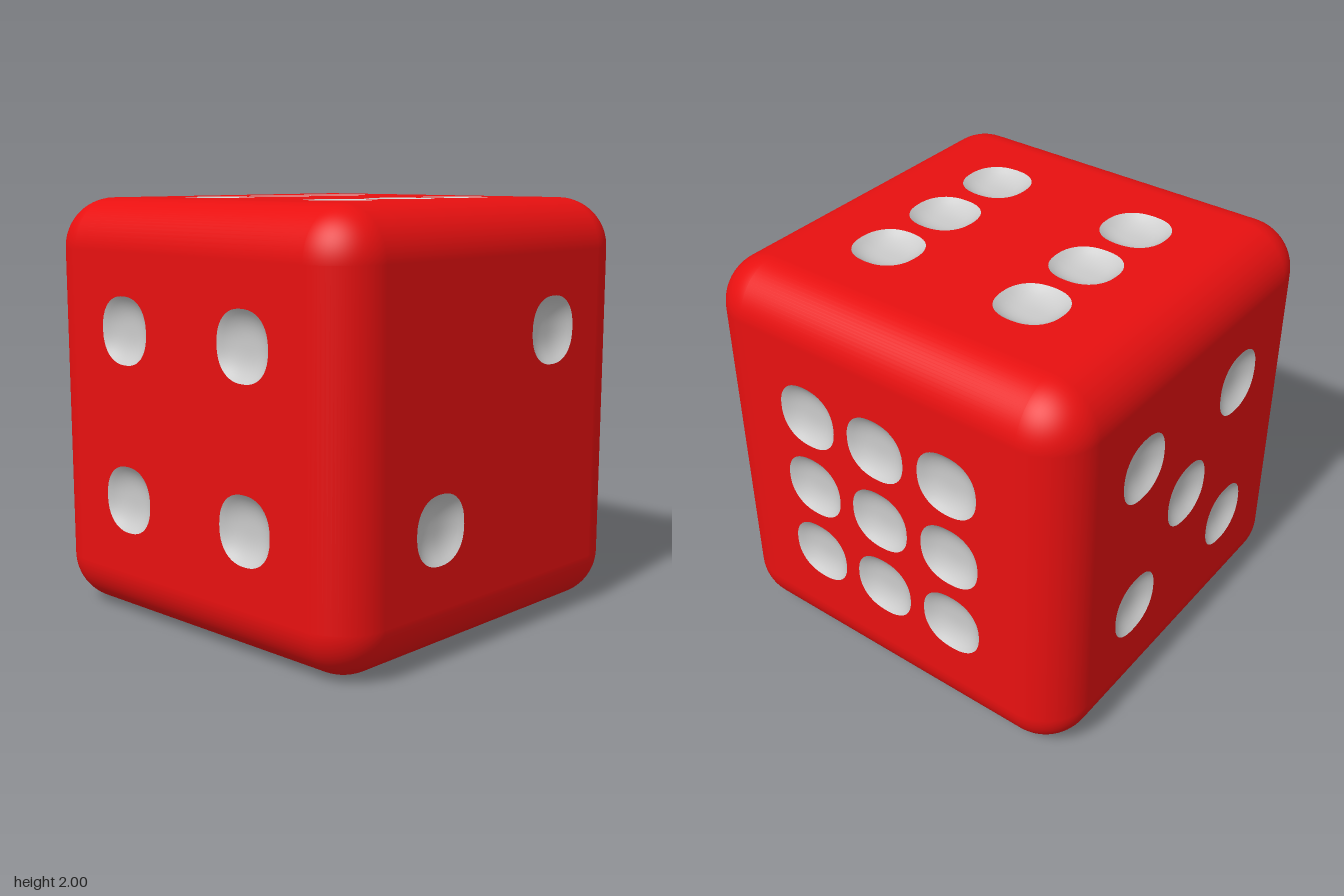
import * as THREE from 'three';
import { mergeVertices } from 'three/addons/utils/BufferGeometryUtils.js';
import { RoundedBoxGeometry } from 'three/addons/geometries/RoundedBoxGeometry.js';

const HALF = 1, RADIUS = 0.24, FLAT = HALF - RADIUS;
const PIP_RADIUS = 0.16, PIP_DEPTH = 0.05, PIP_SIDES = 48, PIP_STEP = 0.4;

const red = new THREE.MeshStandardMaterial({ color: 0xe81010 });
const grey = new THREE.MeshStandardMaterial({ color: 0xcccccc });

// Slightly squared circle used for the rim of every pip
function rimPoint(angle, scale = 1) {
  const c = Math.cos(angle), s = Math.sin(angle), n = 2.3;
  const r = PIP_RADIUS * scale / Math.pow(Math.abs(c) ** n + Math.abs(s) ** n, 1 / n);
  return new THREE.Vector2(r * c, r * s);
}

// Rounded edges and corners: a rounded box without its six flat squares
function makeRoundedEdges() {
  const box = new RoundedBoxGeometry(2 * HALF, 2 * HALF, 2 * HALF, 10, RADIUS);
  const p = box.attributes.position, n = box.attributes.normal;
  const positions = [], normals = [];
  const isFlat = (i) => Math.max(Math.abs(n.getX(i)), Math.abs(n.getY(i)), Math.abs(n.getZ(i))) > 0.9999;
  for (let i = 0; i < p.count; i += 3) {
    if (isFlat(i) && isFlat(i + 1) && isFlat(i + 2)) continue;
    for (let k = i; k < i + 3; k++) {
      positions.push(p.getX(k), p.getY(k), p.getZ(k));
      normals.push(n.getX(k), n.getY(k), n.getZ(k));
    }
  }
  const geometry = new THREE.BufferGeometry();
  geometry.setAttribute('position', new THREE.Float32BufferAttribute(positions, 3));
  geometry.setAttribute('normal', new THREE.Float32BufferAttribute(normals, 3));
  return geometry;
}

// Shallow bowl, flat in the middle and rising to the rim
function makePip() {
  let geometry = new THREE.RingGeometry(0.02, 1, PIP_SIDES, 8);
  const p = geometry.attributes.position;
  for (let i = 0; i < p.count; i++) {
    const x = p.getX(i), y = p.getY(i);
    const t = Math.hypot(x, y) < 0.03 ? 0 : Math.hypot(x, y);
    const q = rimPoint(Math.atan2(y, x), t);
    p.setXYZ(i, q.x, q.y, -PIP_DEPTH * (1 - t ** 3));
  }
  geometry.deleteAttribute('uv');
  geometry.deleteAttribute('normal');
  geometry = mergeVertices(geometry, 1e-5);
  geometry.computeVertexNormals();
  return geometry;
}

// Flat square with an opening for each pip
function makePlate(spots) {
  const shape = new THREE.Shape([[-1, -1], [1, -1], [1, 1], [-1, 1]].map(
    ([x, y]) => new THREE.Vector2(x * FLAT, y * FLAT)));
  for (const [x, y] of spots) {
    const rim = [];
    for (let i = 0; i < PIP_SIDES; i++) {
      rim.push(rimPoint(-i / PIP_SIDES * Math.PI * 2).add(new THREE.Vector2(x, y)));
    }
    shape.holes.push(new THREE.Path(rim));
  }
  return new THREE.ShapeGeometry(shape);
}

// Pip layouts in steps across (u) and up (v) each face
const corners = [[-1, -1], [1, -1], [-1, 1], [1, 1]];
const nine = [];
for (const u of [-1, 0, 1]) for (const v of [-1, 0, 1]) nine.push([u, v]);

const FACES = [
  { name: 'frontFace', turn: [0, 0], spots: corners },
  { name: 'backFace', turn: [0, Math.PI], spots: nine },
  { name: 'leftFace', turn: [0, Math.PI / 2], spots: [[-1, -1], [1, 1]] },
  { name: 'rightFace', turn: [0, -Math.PI / 2], spots: [...corners, [0, 0]] },
  { name: 'topFace', turn: [-Math.PI / 2, 0], spots: [...corners, [-1, 0], [1, 0]] },
  { name: 'bottomFace', turn: [Math.PI / 2, 0], spots: [[0, 0]] },
];

export function createModel() {
  const model = new THREE.Group();
  model.name = 'die';

  const edges = new THREE.Mesh(makeRoundedEdges(), red);
  edges.name = 'roundedEdges';
  edges.position.y = HALF;
  model.add(edges);

  const pipGeometry = makePip();
  for (const { name, turn, spots } of FACES) {
    const face = new THREE.Group();
    face.name = name;
    face.rotation.set(turn[0], turn[1], 0);
    face.position.set(0, 0, HALF).applyEuler(face.rotation);
    face.position.y += HALF;

    const places = spots.map(([u, v]) => [u * PIP_STEP, v * PIP_STEP]);
    const plate = new THREE.Mesh(makePlate(places), red);
    plate.name = 'facePlate';
    face.add(plate);
    for (const [x, y] of places) {
      const pip = new THREE.Mesh(pipGeometry, grey);
      pip.name = 'pip';
      pip.position.set(x, y, 0);
      face.add(pip);
    }
    model.add(face);
  }
  return model;
}
